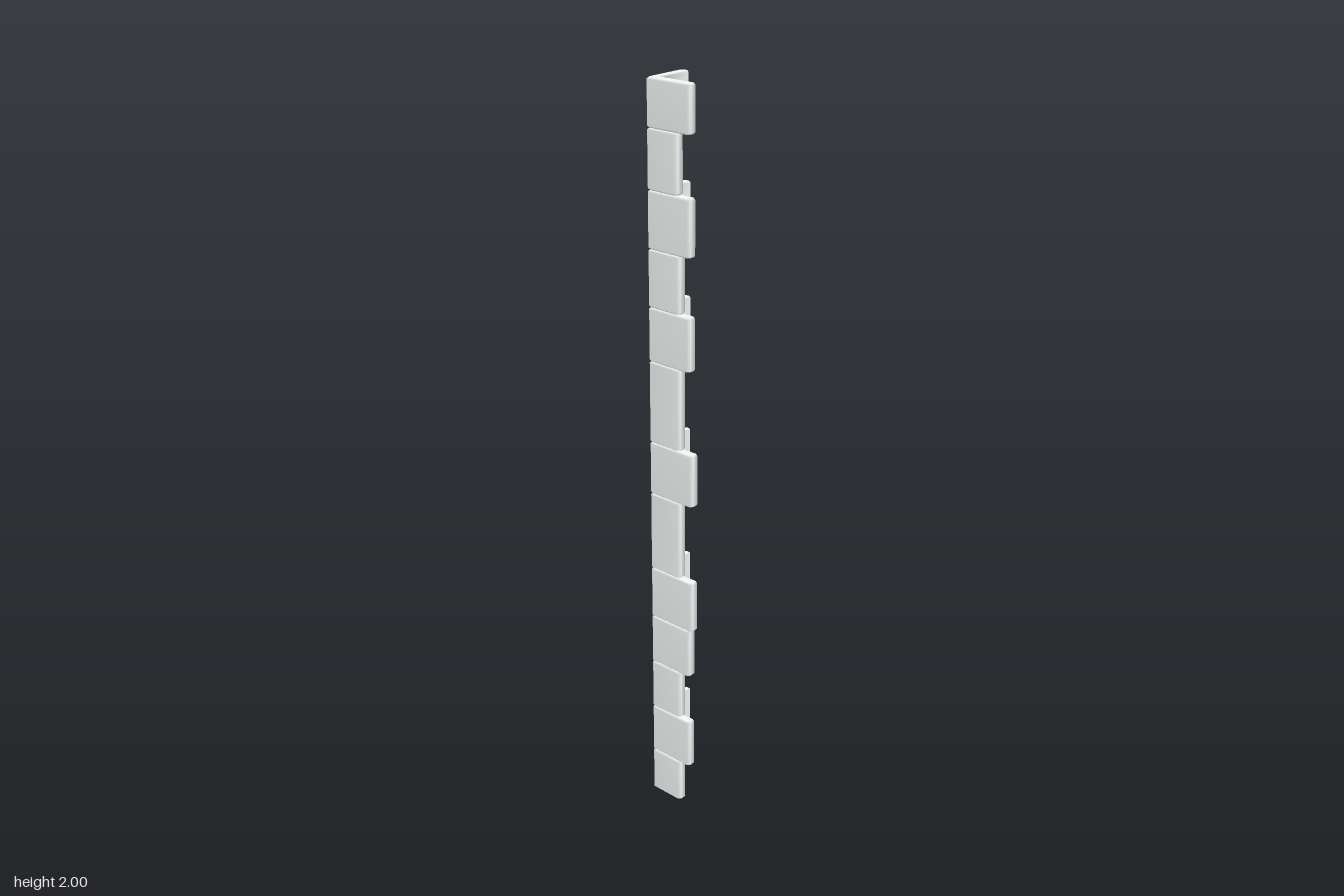
import * as THREE from 'three';

const OUT_X = -0.073, OUT_Z = 0.068;  // outer corner
const IN_X = -0.052, IN_Z = 0.045;    // inner corner
const CHAMFER = 0.007, BEVEL = 0.005;

// L-shaped section with chamfered outer edges, as (x, -z) counter-clockwise
function section(endX, endZ, inset) {
  const l = OUT_X + inset, f = -OUT_Z + inset, e = endX - inset, b = -endZ - inset, c = CHAMFER;
  return [
    [l + c, f], [e - c, f], [e, f + c], [e, -IN_Z],
    [IN_X, -IN_Z],
    [IN_X, b], [l + c, b], [l, b - c], [l, f + c],
  ].map(([x, y]) => new THREE.Vector2(x, y));
}

// One corner stone: section loops stacked in y, bevelled at top and bottom, smooth-shaded
function stoneGeometry(bottom, top, endX, endZ) {
  const levels = [[bottom, BEVEL], [bottom + BEVEL, 0], [top - BEVEL, 0], [top, BEVEL]];
  const positions = [], index = [];
  const n = section(endX, endZ, 0).length;
  for (const [y, inset] of levels)
    for (const p of section(endX, endZ, inset)) positions.push(p.x, y, -p.y);
  for (let k = 0; k < levels.length - 1; k++)
    for (let i = 0; i < n; i++) {
      const a = k * n + i, b = k * n + (i + 1) % n;
      index.push(a, b, b + n, a, b + n, a + n);
    }
  const last = (levels.length - 1) * n;
  for (const [a, b, c] of THREE.ShapeUtils.triangulateShape(section(endX, endZ, BEVEL), [])) {
    index.push(last + a, last + b, last + c, c, b, a);
  }
  const g = new THREE.BufferGeometry();
  g.setAttribute('position', new THREE.Float32BufferAttribute(positions, 3));
  g.setIndex(index);
  g.computeVertexNormals();
  return g;
}

export function createModel() {
  const group = new THREE.Group();
  group.name = 'cornerQuoins';
  const material = new THREE.MeshStandardMaterial({ color: 0xf2f7f6 });

  // Stones from the bottom up: [top height, front leg end x, side leg end z]
  const stones = [
    [0.131, 0.03, -0.025], [0.277, 0.063, -0.069], [0.423, 0.03, -0.025],
    [0.566, 0.063, -0.069], [0.714, 0.072, -0.069], [0.934, 0.03, -0.025],
    [1.08, 0.072, -0.069], [1.3, 0.03, -0.025], [1.442, 0.063, -0.069],
    [1.59, 0.03, -0.025], [1.735, 0.063, -0.069], [1.883, 0.024, -0.014],
    [2.0, 0.063, -0.062],
  ];
  let bottom = 0;
  stones.forEach(([top, endX, endZ], i) => {
    const stone = new THREE.Mesh(stoneGeometry(bottom, top, endX, endZ), material);
    stone.name = `${endX > 0.05 ? 'wide' : 'narrow'}Stone${i + 1}`;
    group.add(stone);
    bottom = top;
  });
  return group;
}
